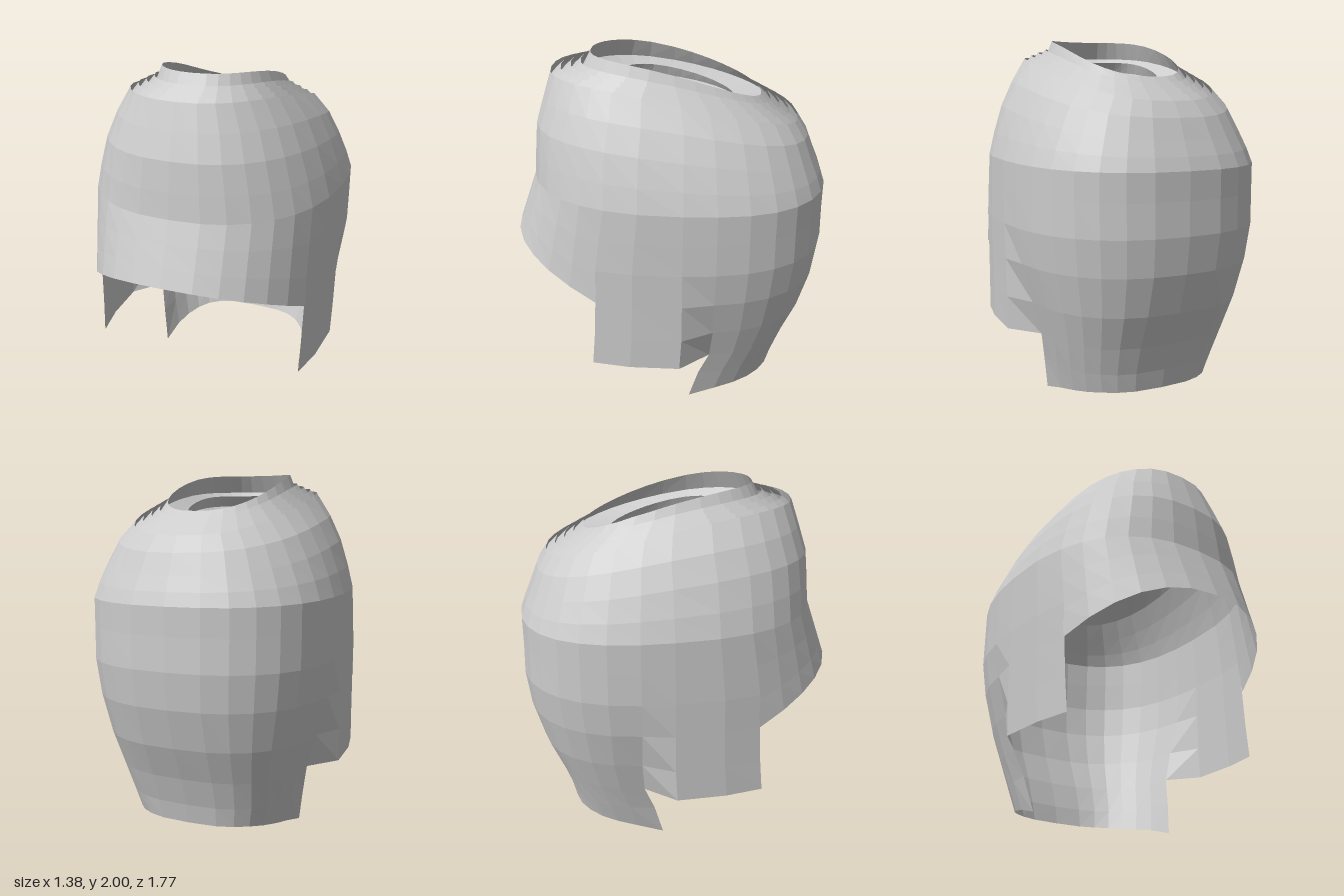
import * as THREE from 'three';

const rad = Math.PI / 180;

// Evenly spaced angles, 0 = front, 90 = left side, 180 = back
const span = (a, b, n) => Array.from({ length: n + 1 }, (_, i) => a + ((b - a) * i) / n);

// Point on a row's rounded outline; rows may tilt from yf (front) to yb (back)
function outline(row, deg) {
  const { hx, zf, zb, yf, yb = yf, z0 = -0.1, boxy = 2.5 } = row;
  const s = Math.sin(deg * rad), c = Math.cos(deg * rad);
  const power = 2 / (c > 0 ? 2.4 : boxy); // the back is boxier than the front
  const x = hx * Math.sign(s) * Math.abs(s) ** power;
  const z = z0 + (c > 0 ? zf - z0 : z0 - zb) * Math.sign(c) * Math.abs(c) ** power;
  const t = Math.min(1, Math.max(0, (z - zb) / (zf - zb)));
  return [x, yb + (yf - yb) * Math.sin((t * Math.PI) / 2), z];
}

// Grid of points (top row first) to a flat-shaded sheet
function sheet(name, grid) {
  const cols = grid[0].length, index = [];
  for (let r = 0; r < grid.length - 1; r++) {
    for (let c = 0; c < cols - 1; c++) {
      const a = r * cols + c, b = a + cols;
      index.push(a, b, b + 1, a, b + 1, a + 1);
    }
  }
  const geo = new THREE.BufferGeometry();
  geo.setAttribute('position', new THREE.Float32BufferAttribute(grid.flat(2), 3));
  geo.setIndex(index);
  geo.computeVertexNormals();
  const mesh = new THREE.Mesh(geo, new THREE.MeshStandardMaterial({
    color: 0xcccccc, flatShading: true, side: THREE.DoubleSide,
  }));
  mesh.name = name;
  return mesh;
}

export function createModel() {
  const group = new THREE.Group();
  group.name = 'headShell';

  // Columns shared by all the parts
  const EDGE = 63.5; // where the brim meets the side flap
  const NECK = 97;   // where the side flap meets the neck guard
  const frontHalf = span(0, EDGE, 6);
  const flapCols = [EDGE, 76, 89, NECK];
  const neckHalf = span(NECK, 180, 7);
  const half = [...frontHalf, ...flapCols.slice(1), ...neckHalf.slice(1)];
  const around = [...half.slice(1).reverse().map((a) => -a), ...half];
  const loft = (name, rows, cols) => sheet(name, rows.map((r) => cols.map((a) => outline(r, a))));

  // Rims around the crown opening, innermost and highest first
  const rims = [2.0, 1.95, 1.935, 1.92, 1.905].map((yf, k) => ({
    hx: 0.3 + 0.0375 * k, zf: 0.43 + 0.055 * k, zb: -0.51 - 0.0525 * k,
    yf, yb: 1.77 - 0.0315 * k, z0: -0.04 - 0.01 * k,
  }));

  // Nested collars lean inwards, each foot tucked inside the next rim
  rims.slice(0, 4).forEach((rim, k) => {
    const drop = k ? 0.05 : 0.1;
    const foot = { ...rims[k + 1], yf: rim.yf - drop, yb: rim.yb - 0.05 };
    group.add(loft('crownCollar' + (k + 1), [rim, foot], around));
  });

  // Sunken floor and its two low collars
  group.add(loft('crownFloor', [
    { hx: 0.001, zf: 0.031, zb: 0.029, yf: 1.69, z0: 0.03 },
    { hx: 0.14, zf: 0.18, zb: -0.16, yf: 1.71, yb: 1.69, z0: 0.03 },
    { hx: 0.23, zf: 0.34, zb: -0.37, yf: 1.8, yb: 1.71, z0: 0 },
    { ...rims[1], yf: 1.9, yb: 1.72 },
  ], around));
  group.add(loft('outerFloorCollar', [
    { hx: 0.22, zf: 0.28, zb: -0.36, yf: 1.87, yb: 1.74, z0: 0 },
    { hx: 0.24, zf: 0.355, zb: -0.38, yf: 1.81, yb: 1.71, z0: 0 },
  ], around));
  group.add(loft('innerFloorCollar', [
    { hx: 0.11, zf: 0.15, zb: -0.14, yf: 1.75, yb: 1.7, z0: 0.03 },
    { hx: 0.14, zf: 0.18, zb: -0.16, yf: 1.71, yb: 1.69, z0: 0.03 },
  ], around));

  // Upper shell, from the outer rim down to the widest line
  const belt = { hx: 0.69, zf: 0.765, zb: -0.88, yf: 1.33, yb: 1.3 };
  group.add(loft('upperShell', [
    rims[4],
    { hx: 0.54, zf: 0.695, zb: -0.775, yf: 1.77, yb: 1.56 },
    { hx: 0.605, zf: 0.74, zb: -0.82, yf: 1.63, yb: 1.45 },
    { hx: 0.655, zf: 0.755, zb: -0.855, yf: 1.47, yb: 1.37 },
    belt,
  ], around));

  // Brim: flares forward and drops towards the sides
  const brimCols = [...frontHalf.slice(1).reverse().map((a) => -a), ...frontHalf];
  const brimTop = brimCols.map((a) => outline(belt, a));
  const brimEnd = brimCols.map((a) => {
    const [x, , z] = outline({ ...belt, zf: 0.885, yf: 1 }, a);
    return [x, 0.77 + (0.23 * (z - 0.4)) / 0.485, z];
  });
  const brim = [0, 0.35, 0.7, 1].map((t) => brimTop.map((p, i) => p.map((v, k) => v + (brimEnd[i][k] - v) * t)));
  group.add(sheet('brim', brim));

  // Lower rows: y, flap half-width, neck half-width, front, back, centre, boxiness
  const lower = [
    [1.15, 0.69, 0.69, 0.82, -0.88, -0.1, 2.5],
    [0.97, 0.69, 0.688, 0.87, -0.885, -0.1, 2.5],
    [0.77, 0.685, 0.66, 0.885, -0.86, -0.1, 2.5],
    [0.55, 0.68, 0.6, 0.91, -0.795, -0.1, 2.65],
    [0.36, 0.675, 0.545, 0.935, -0.71, -0.09, 2.8],
    [0.2, 0, 0.505, 0.9, -0.655, -0.02, 2.9],
    [0.0, 0, 0.465, 0.9, -0.63, 0.05, 3],
  ].map(([yf, flap, neck, zf, zb, z0, boxy]) => ({ yf, flap, neck, zf, zb, z0, boxy }));
  const flapRows = lower.slice(0, 5);

  // Side flaps, whose rear edge turns in to the neck guard
  for (const side of [1, -1]) {
    const cols = side > 0 ? flapCols : flapCols.map((a) => -a).reverse();
    const grid = [cols.map((a) => outline(belt, a)), ...flapRows.map((r) =>
      cols.map((a) => outline({ ...r, hx: Math.abs(a) < NECK ? r.flap : r.neck }, a)))];
    group.add(sheet(side > 0 ? 'leftFlap' : 'rightFlap', grid));
  }

  // Neck guard, with a lower edge rising to the middle
  const neckCols = [...neckHalf, ...neckHalf.slice(0, -1).reverse().map((a) => 360 - a)];
  const neck = [neckCols.map((a) => outline(belt, a)), ...lower.map((r) =>
    neckCols.map((a) => outline({ ...r, hx: r.neck }, a)))];
  const hem = neck[neck.length - 1];
  const corner = hem[0][2];
  for (const p of hem) p[1] = 0.09 * Math.min(1, Math.max(0, (corner - p[2]) / 0.45)) ** 0.7;
  group.add(sheet('neckGuard', neck));

  return group;
}
